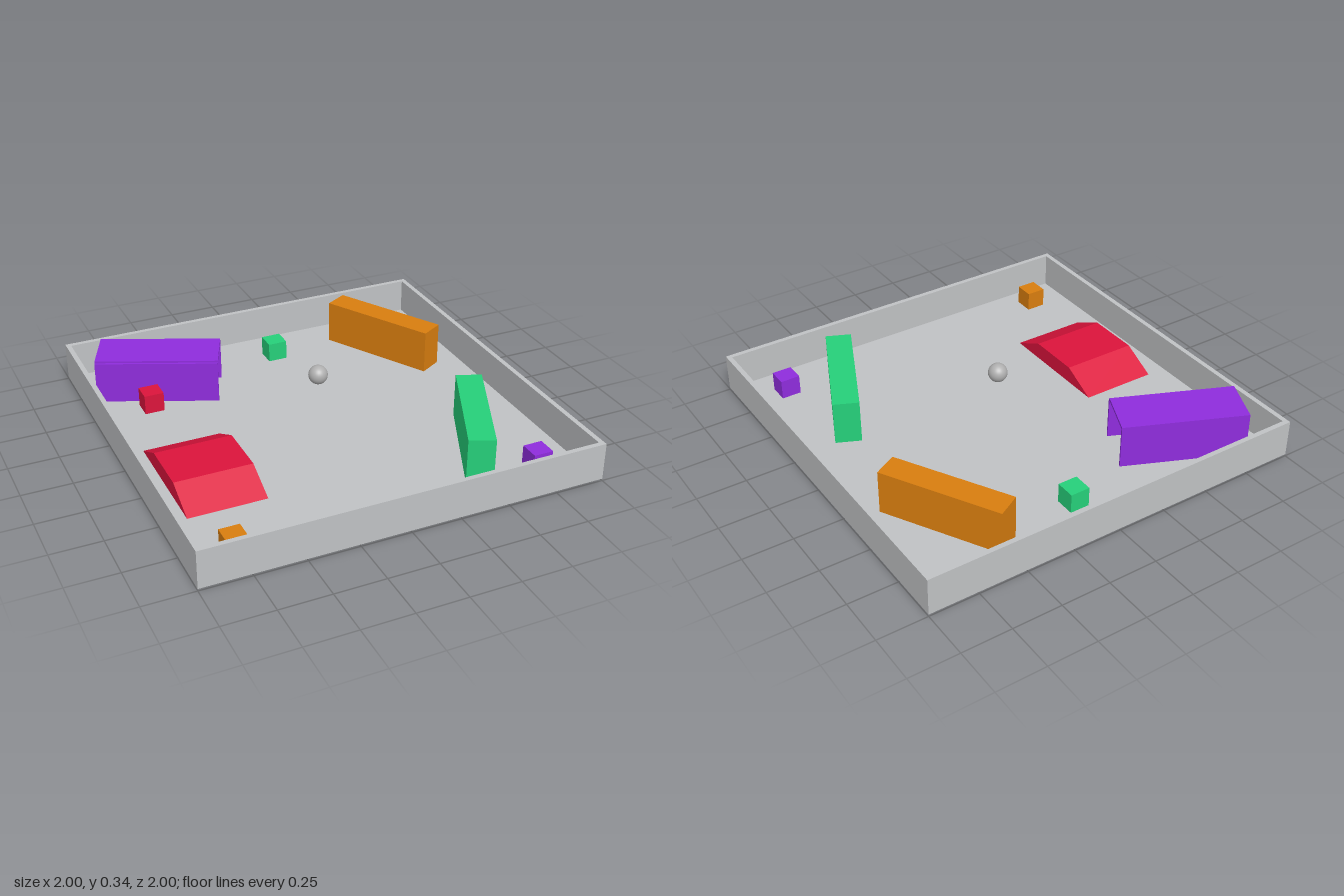
import * as THREE from 'three';

const FLOOR = 0.02;

function material(name, color) {
  const m = new THREE.MeshStandardMaterial({ color });
  m.name = name;
  return m;
}

export function createModel() {
  const model = new THREE.Group();
  model.name = 'obstacleArena';

  const grey = material('lightGrey', 0xc0c2c4);
  const ballGrey = material('ballGrey', 0xb0b0b0);
  const red = material('crimson', 0xdc143c);
  const green = material('green', 0x26d07a);
  const orange = material('orange', 0xd97e0f);
  const purple = material('purple', 0x8f2ddd);

  function add(parent, name, geometry, mat, x, y, z, turn = 0) {
    const mesh = new THREE.Mesh(geometry, mat);
    mesh.name = name;
    mesh.position.set(x, y, z);
    mesh.rotation.y = turn;
    parent.add(mesh);
    return mesh;
  }
  // Box placed by the height of its underside
  const box = (parent, name, mat, [w, h, d], x, y, z, turn) =>
    add(parent, name, new THREE.BoxGeometry(w, h, d), mat, x, y + h / 2, z, turn);

  // Tray: floor plate with four walls around it
  box(model, 'floor', grey, [1.95, FLOOR, 1.95], 0, 0, 0);
  for (const s of [-1, 1]) {
    box(model, 'sideWall', grey, [0.025, 0.19, 2], s * 0.9875, 0.01, 0);
    box(model, 'endWall', grey, [1.95, 0.19, 0.025], 0, 0.01, s * 0.9875);
  }

  // Ball hovering over the centre
  add(model, 'ball', new THREE.SphereGeometry(0.048, 32, 20), ballGrey, 0, 0.293, 0);

  // Long barriers
  const barrier = [0.625, 0.225, 0.13];
  box(model, 'greenBarrier', green, barrier, 0.586, FLOOR, 0.517, 1.146);
  box(model, 'orangeBarrier', orange, barrier, 0.64, FLOOR, -0.558, -1.061);

  // Small cubes
  for (const [name, mat, x, z] of [
    ['redCube', red, -0.705, -0.485],
    ['greenCube', green, 0.08, -0.75],
    ['orangeCube', orange, -0.775, 0.835],
    ['purpleCube', purple, 0.77, 0.795],
  ]) box(model, name, mat, [0.1, 0.1, 0.1], x, FLOOR, z);

  // Ramp: trapezoid profile along z, extruded across x
  const profile = new THREE.Shape([[-0.313, 0], [0.313, 0], [0.138, 0.087], [-0.138, 0.087]]
    .map(([a, b]) => new THREE.Vector2(a, b)));
  const ramp = new THREE.ExtrudeGeometry(profile, { depth: 0.39, bevelEnabled: false });
  ramp.translate(0, 0, -0.195);
  add(model, 'ramp', ramp, red, -0.68, FLOOR, 0.207, Math.PI / 2);

  // Tunnel: roof on two thin walls, open at both ends
  const tunnel = new THREE.Group();
  tunnel.name = 'tunnel';
  tunnel.position.set(-0.602, 0, -0.655);
  tunnel.rotation.y = -0.413;
  box(tunnel, 'tunnelRoof', purple, [0.622, 0.013, 0.248], 0, 0.232, -0.006);
  box(tunnel, 'tunnelBackWall', purple, [0.622, 0.212, 0.013], 0, FLOOR, -0.1235);
  box(tunnel, 'tunnelFrontWall', purple, [0.622, 0.215, 0.013], 0, FLOOR, 0.1235);
  model.add(tunnel);

  return model;
}
